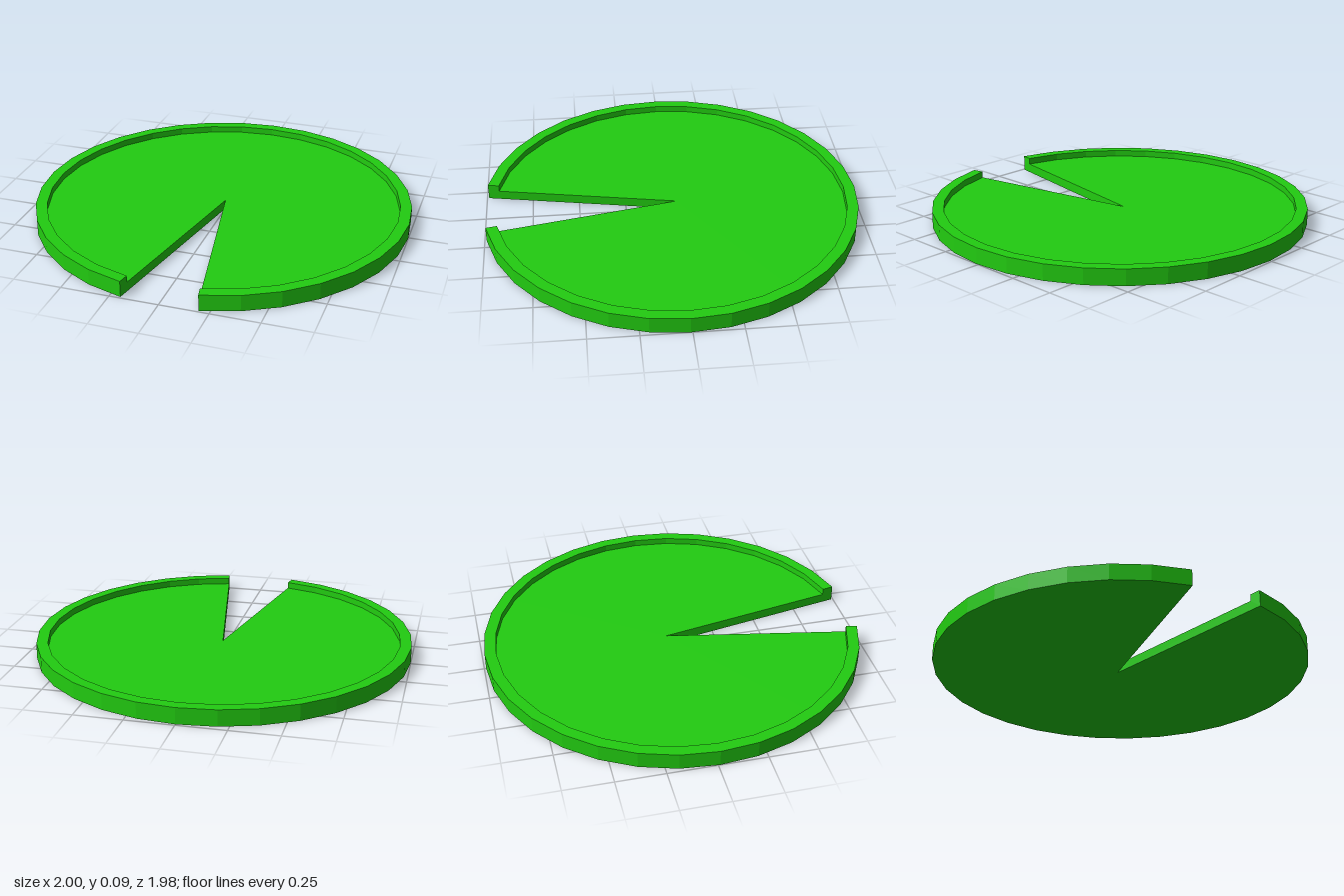
import * as THREE from 'three';

const SEGMENTS = 32;                      // sides of the full circle
const STEP = (Math.PI * 2) / SEGMENTS;    // half-angle of the notch
const APEX = -0.03;                       // notch tip sits just behind the centre
const SHIFT = (1 - Math.cos(STEP)) / 2;   // centres the body on z

// Radial cross-section: underside, outer wall, lip, inner wall, floor
const profile = [[0, 0], [1, 0], [1, 0.085], [0.94, 0.085], [0.94, 0.05], [0, 0.05]]
  .map(([r, y]) => new THREE.Vector2(r, y));

// Flat face closing the body along one side of the notch
function notchWall(side) {
  const geo = new THREE.ShapeGeometry(new THREE.Shape(profile));
  const p = geo.attributes.position;
  for (let i = 0; i < p.count; i++) {
    const r = p.getX(i);
    const z = r < 1e-6 ? APEX : r * Math.cos(STEP);
    p.setXYZ(i, side * r * Math.sin(STEP), p.getY(i), z);
  }
  if (side < 0) geo.index.array.reverse();
  geo.computeVertexNormals();
  return geo;
}

export function createModel() {
  const group = new THREE.Group();
  group.name = 'lilyPad';
  const green = new THREE.MeshStandardMaterial({ color: 0x22cc11, flatShading: true });

  const add = (geo, name) => {
    const mesh = new THREE.Mesh(geo, green);
    mesh.name = name;
    mesh.position.z = SHIFT;
    group.add(mesh);
  };

  // Rimmed disc with a wedge left open at the front
  const pad = new THREE.LatheGeometry(profile, SEGMENTS - 2, STEP, Math.PI * 2 - 2 * STEP);
  const p = pad.attributes.position;
  for (let i = 0; i < p.count; i++) {
    if (Math.hypot(p.getX(i), p.getZ(i)) < 1e-6) p.setZ(i, APEX);
  }
  pad.computeVertexNormals();
  add(pad, 'pad');

  add(notchWall(1), 'leftNotchWall');
  add(notchWall(-1), 'rightNotchWall');
  return group;
}
